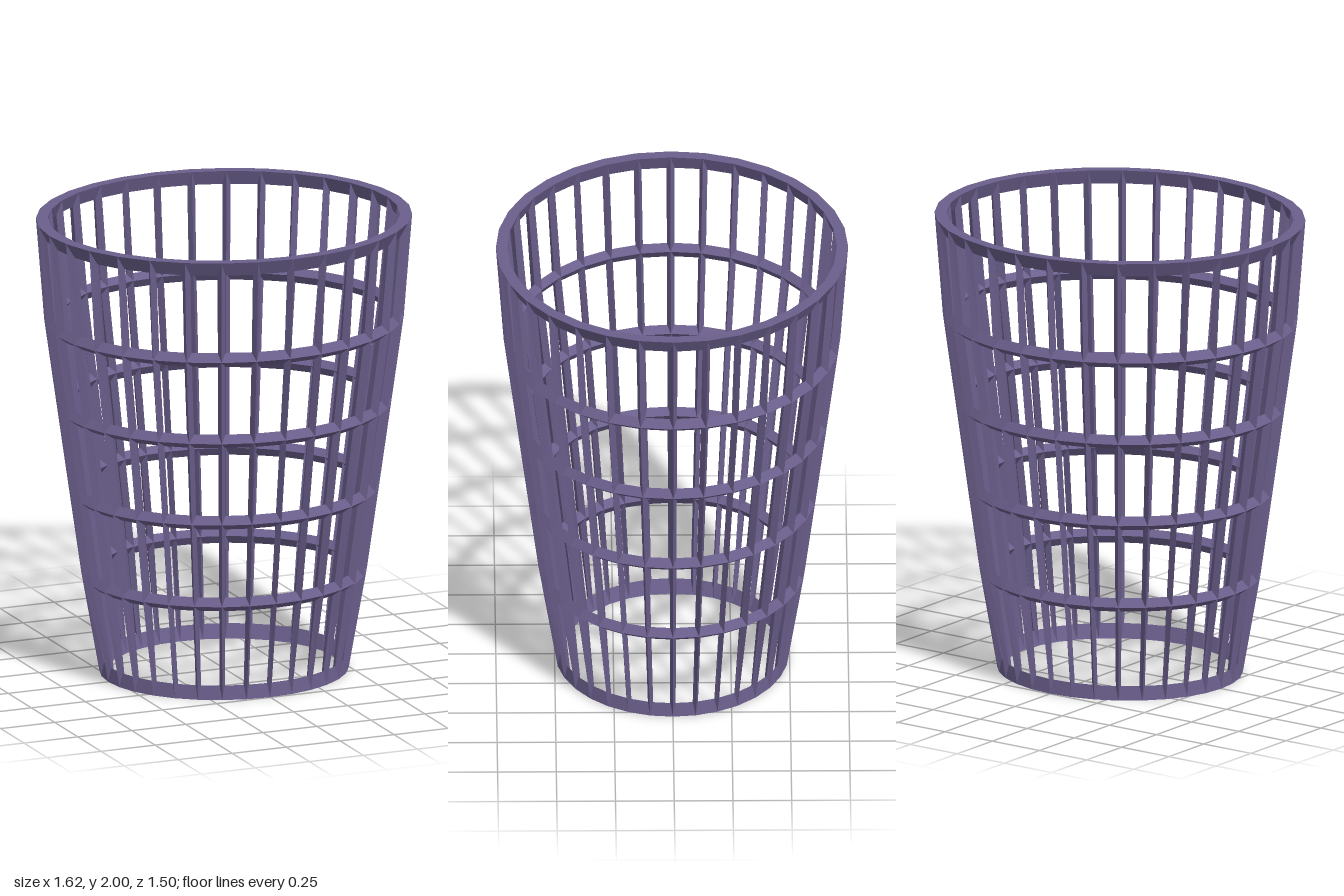
import * as THREE from 'three';

const SEGMENTS = 32;
const DEPTH = 0.926; // the basket is slightly oval

// One entry per hoop: height, radius of the wall, outer and inner ridge radii,
// and how far the hoop reaches up and down along the wall
const HOOPS = [
  { name: 'bottomRim', y: 0, r: 0.52, out: 0.537, inn: 0.505, h: 0.062, tilt: 0 },
  { name: 'lowerHoop', y: 0.435, r: 0.584, out: 0.614, inn: 0.554, h: 0.031, tilt: 0.005 },
  { name: 'lowerMiddleHoop', y: 0.81, r: 0.638, out: 0.668, inn: 0.608, h: 0.031, tilt: 0.005 },
  { name: 'upperMiddleHoop', y: 1.183, r: 0.691, out: 0.721, inn: 0.661, h: 0.031, tilt: 0.005 },
  { name: 'upperHoop', y: 1.556, r: 0.744, out: 0.774, inn: 0.714, h: 0.031, tilt: 0.005 },
  { name: 'topRim', y: 2, r: 0.785, out: 0.81, inn: 0.758, h: 0.062, tilt: 0 },
];

function ringPoint(i, r, y) {
  const a = (i / SEGMENTS) * Math.PI * 2;
  return new THREE.Vector3(r * Math.sin(a), y, r * DEPTH * Math.cos(a));
}
const outer = (i, k) => ringPoint(i, k.out, k.y - k.tilt);
const inner = (i, k) => ringPoint(i, k.inn, k.y + k.tilt);

// Corners of the opening between two hoops: bottom left, bottom right, top right, top left
function opening(i, lo, hi) {
  const at = (y, side) => {
    const r = THREE.MathUtils.mapLinear(y, lo.y, hi.y, lo.r, hi.r);
    const a = ringPoint(i, r, y), b = ringPoint(i + 1, r, y);
    const halfRib = 0.022 * r / a.distanceTo(b);
    return a.lerp(b, side < 0 ? halfRib : 1 - halfRib);
  };
  const y0 = lo.y + lo.h, y1 = hi.y - hi.h;
  return [at(y0, -1), at(y0, 1), at(y1, 1), at(y1, -1)];
}

function quad(list, a, b, c, d) {
  for (const p of [a, b, c, a, c, d]) list.push(p.x, p.y, p.z);
}

export function createModel() {
  const group = new THREE.Group();
  group.name = 'wasteBasket';
  const material = new THREE.MeshStandardMaterial({ color: 0x6b5f8c, flatShading: true });
  const hoopFaces = HOOPS.map(() => []);
  const ribFaces = Array.from({ length: SEGMENTS }, () => []);

  // Bevelled frame around every opening, shared between hoops and ribs
  for (let j = 0; j < HOOPS.length - 1; j++) {
    const lo = HOOPS[j], hi = HOOPS[j + 1];
    for (let i = 0; i < SEGMENTS; i++) {
      const inset = opening(i, lo, hi);
      const targets = [hoopFaces[j], ribFaces[(i + 1) % SEGMENTS], hoopFaces[j + 1], ribFaces[i]];
      for (const [ridge, outside] of [[outer, true], [inner, false]]) {
        const corners = [ridge(i, lo), ridge(i + 1, lo), ridge(i + 1, hi), ridge(i, hi)];
        for (let s = 0; s < 4; s++) {
          const n = (s + 1) % 4;
          if (outside) quad(targets[s], corners[s], corners[n], inset[n], inset[s]);
          else quad(targets[s], corners[n], corners[s], inset[s], inset[n]);
        }
      }
    }
  }

  // Flat faces of the two rims
  const bottom = HOOPS[0], top = HOOPS[HOOPS.length - 1];
  for (let i = 0; i < SEGMENTS; i++) {
    quad(hoopFaces[HOOPS.length - 1], outer(i, top), outer(i + 1, top), inner(i + 1, top), inner(i, top));
    quad(hoopFaces[0], inner(i, bottom), inner(i + 1, bottom), outer(i + 1, bottom), outer(i, bottom));
  }

  const addMesh = (name, positions) => {
    const geometry = new THREE.BufferGeometry();
    geometry.setAttribute('position', new THREE.Float32BufferAttribute(positions, 3));
    geometry.computeVertexNormals();
    const mesh = new THREE.Mesh(geometry, material);
    mesh.name = name;
    group.add(mesh);
  };
  HOOPS.forEach((k, j) => addMesh(k.name, hoopFaces[j]));
  ribFaces.forEach((faces, i) => addMesh(`rib${i + 1}`, faces));
  return group;
}
